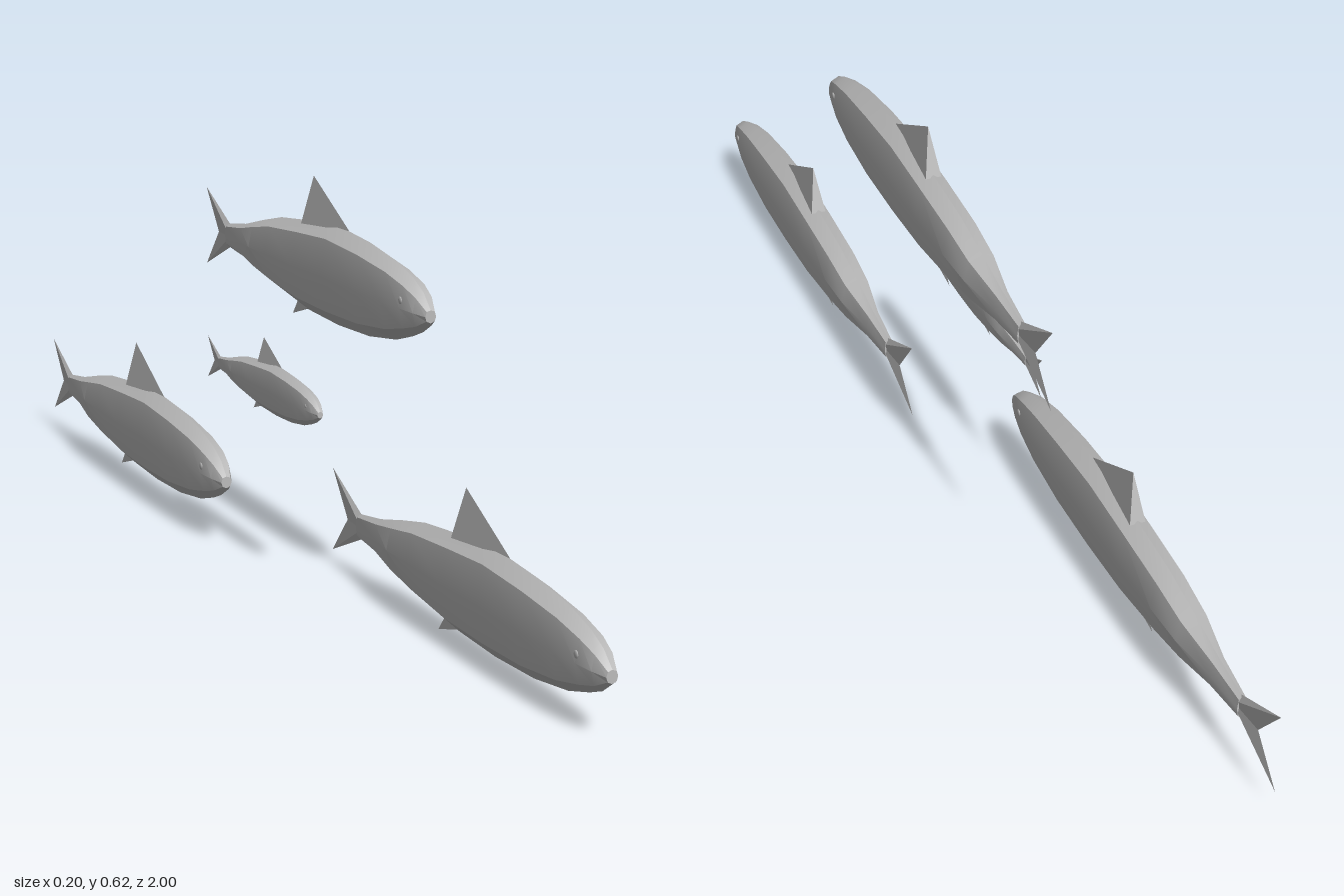
import * as THREE from 'three';
import { toCreasedNormals } from 'three/addons/utils/BufferGeometryUtils.js';
import { ConvexGeometry } from 'three/addons/geometries/ConvexGeometry.js';

// Body stations: distance behind the nose, top, bottom, half width
const STATIONS = [
  [0, 0.008, -0.012, 0.009], [0.025, 0.03, -0.03, 0.018], [0.06, 0.046, -0.043, 0.024],
  [0.12, 0.062, -0.06, 0.028], [0.22, 0.075, -0.074, 0.031], [0.34, 0.082, -0.079, 0.032],
  [0.46, 0.073, -0.076, 0.032], [0.58, 0.06, -0.061, 0.031], [0.66, 0.043, -0.047, 0.028],
  [0.74, 0.024, -0.036, 0.014], [0.82, 0.012, -0.029, 0.008],
];
// Cross-section, counterclockwise from the back ridge
const SECTION = [[0, 1], [-0.75, 0.76], [-1, 0], [-0.75, -0.7], [0, -1], [0.75, -0.7], [1, 0], [0.75, 0.76]];

function bodyGeometry() {
  const pos = [], index = [], n = SECTION.length, last = (STATIONS.length - 1) * n;
  for (const [d, top, bottom, w] of STATIONS) {
    const mid = (top + bottom) / 2, h = (top - bottom) / 2;
    for (const [sx, sy] of SECTION) pos.push(sx * w, mid + sy * h, -d);
  }
  for (let i = 0; i < STATIONS.length - 1; i++) {
    for (let j = 0; j < n; j++) {
      const a = i * n + j, b = i * n + (j + 1) % n;
      index.push(a, a + n, b, b, a + n, b + n);
    }
  }
  for (let j = 1; j < n - 1; j++) { // nose and tail caps
    index.push(0, j, j + 1, last, last + j + 1, last + j);
  }
  const geometry = new THREE.BufferGeometry();
  geometry.setAttribute('position', new THREE.Float32BufferAttribute(pos, 3));
  geometry.setIndex(index);
  return toCreasedNormals(geometry, THREE.MathUtils.degToRad(22));
}

// Solid tapered fin around a few corner points [x, y, distance behind nose]
const finGeometry = (points) =>
  new ConvexGeometry(points.map(([x, y, d]) => new THREE.Vector3(x, y, -d)));

export function createModel() {
  const grey = new THREE.MeshStandardMaterial({ color: 0xbbbbbb });
  grey.name = 'fishGrey';

  const eye = new THREE.SphereGeometry(0.006, 10, 6);
  eye.scale(0.3, 1, 1);
  const parts = {
    body: bodyGeometry(),
    dorsalFin: finGeometry([[0, 0.08, 0.3], [0.013, 0.068, 0.465], [-0.013, 0.068, 0.465],
      [0, 0.149, 0.443], [0, 0.105, 0.455]]),
    upperTailLobe: finGeometry([[0.007, -0.008, 0.8], [-0.007, -0.008, 0.8], [0, 0.012, 0.815],
      [0, 0.062, 0.93], [0, -0.01, 0.87]]),
    lowerTailLobe: finGeometry([[0.007, -0.008, 0.8], [-0.007, -0.008, 0.8], [0, -0.029, 0.815],
      [0, -0.076, 0.93], [0, -0.01, 0.87]]),
    bellyFin: finGeometry([[0.004, -0.07, 0.45], [-0.004, -0.07, 0.45], [0, -0.07, 0.51], [0, -0.094, 0.53]]),
    leftEye: eye.clone().translate(0.0225, 0.014, -0.06),
    rightEye: eye.clone().translate(-0.0225, 0.014, -0.06),
  };

  // The shoal: name, nose position, scale
  const shoal = [
    ['leadFish', 0.065, 0.094, 1, 1],
    ['upperFish', 0.065, 0.476, 0.43, 1],
    ['rearFish', -0.067, 0.112, -0.07, 1],
    ['smallFish', -0.024, 0.287, 0.223, 0.525],
  ];
  const model = new THREE.Group();
  model.name = 'shoal';
  for (const [name, x, y, z, scale] of shoal) {
    const fish = new THREE.Group();
    fish.name = name;
    for (const [part, geometry] of Object.entries(parts)) {
      const mesh = new THREE.Mesh(geometry, grey);
      mesh.name = part;
      fish.add(mesh);
    }
    fish.position.set(x, y, z);
    fish.scale.setScalar(scale);
    model.add(fish);
  }
  return model;
}
